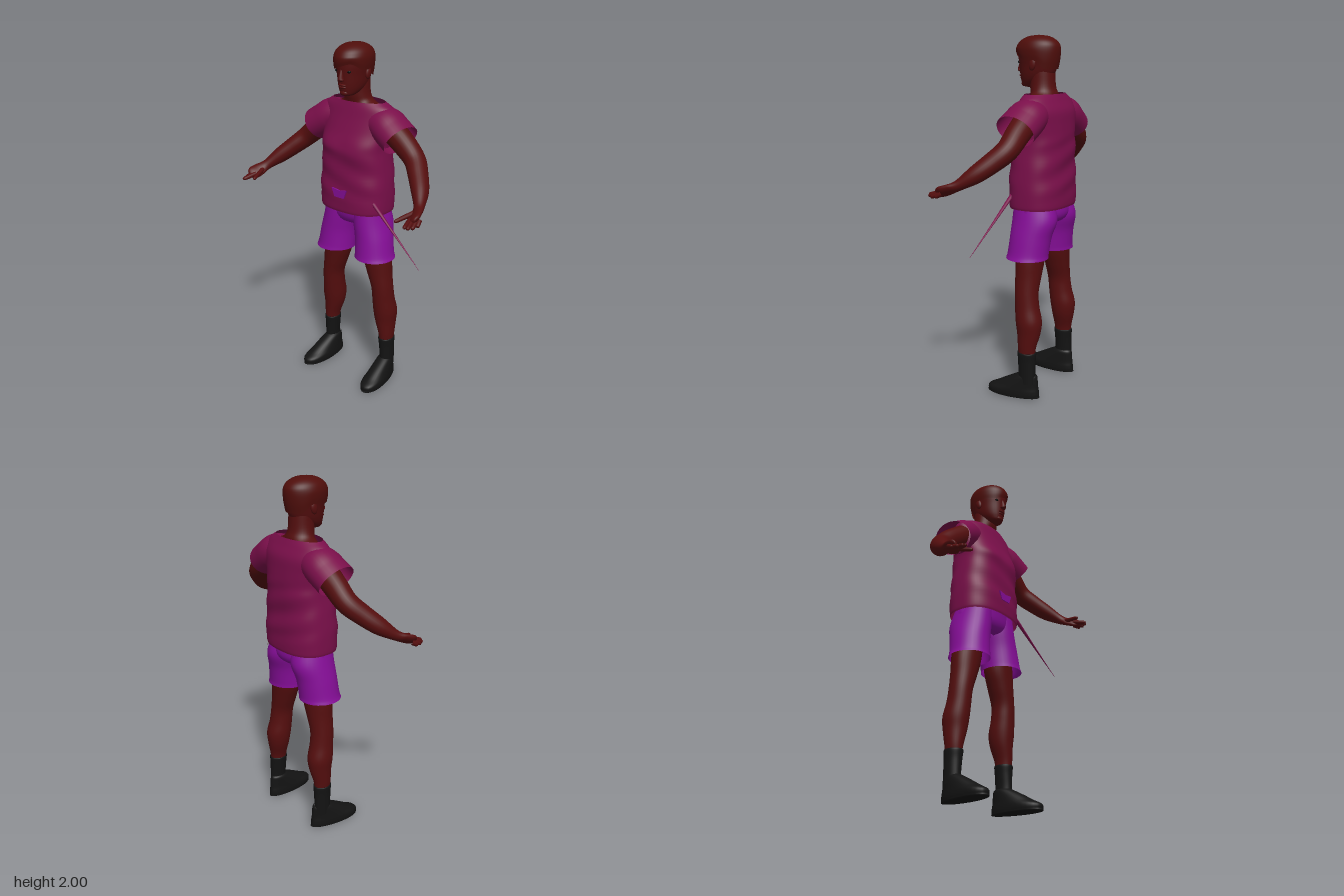
import * as THREE from 'three';

const mat = (name, color, side = THREE.FrontSide) => {
  const m = new THREE.MeshStandardMaterial({ color, side });
  m.name = name;
  return m;
};

// Smooth skin over elliptical rings [x, y, z, radiusU, radiusV, squareness].
// Level rings lie flat; otherwise they follow the path. `shape` may move points.
function loft(rings, { level = true, seg = 32, sub = 5, shape = null } = {}) {
  const smooth = (pts) => new THREE.CatmullRomCurve3(pts, false, 'catmullrom');
  const path = smooth(rings.map((r) => new THREE.Vector3(r[0], r[1], r[2])));
  const size = smooth(rings.map((r) => new THREE.Vector3(r[3], r[4], r[5] ?? 2)));
  const rows = (rings.length - 1) * sub;
  const pos = [], index = [];
  for (let i = 0; i <= rows; i++) {
    const c = path.getPoint(i / rows), s = size.getPoint(i / rows);
    const t = level ? new THREE.Vector3(0, 1, 0) : path.getTangent(i / rows);
    const u = new THREE.Vector3().crossVectors(t, new THREE.Vector3(0, 0, 1)).normalize();
    const v = new THREE.Vector3().crossVectors(u, t);
    const bend = (k) => Math.sign(k) * Math.pow(Math.abs(k), 2 / s.z);
    for (let j = 0; j < seg; j++) {
      const a = (j / seg) * Math.PI * 2;
      const p = c.clone()
        .addScaledVector(u, bend(Math.cos(a)) * Math.max(s.x, 0.0005))
        .addScaledVector(v, bend(Math.sin(a)) * Math.max(s.y, 0.0005));
      if (shape) shape(p);
      pos.push(p.x, p.y, p.z);
      if (i < rows) {
        const k = (j + 1) % seg, b = i * seg, d = b + seg;
        index.push(b + j, d + j, b + k, d + j, d + k, b + k);
      }
    }
  }
  const g = new THREE.BufferGeometry();
  g.setAttribute('position', new THREE.Float32BufferAttribute(pos, 3));
  g.setIndex(index);
  g.computeVertexNormals();
  return g;
}

export function createModel() {
  const skin = mat('skin', 0x540e0e);
  const hairMat = mat('hair', 0x4f0e0b, THREE.DoubleSide);
  const cloth = mat('shirt', 0x7a0f4a, THREE.DoubleSide);
  const shortsMat = mat('shorts', 0x860e98, THREE.DoubleSide);
  const black = mat('footwear', 0x131313);
  const eyeMat = mat('eye', 0x060808);
  const model = new THREE.Group();
  const add = (name, geo, material, parent = model) => {
    const m = new THREE.Mesh(geo, material);
    m.name = name;
    parent.add(m);
    return m;
  };
  const ball = (name, material, p, s, parent) => {
    const m = add(name, new THREE.SphereGeometry(1, 20, 14), material, parent);
    m.position.set(...p);
    m.scale.set(...s);
    return m;
  };

  // Head, neck and face
  const head = new THREE.Group();
  head.name = 'head';
  model.add(head);
  add('neck', loft([
    [0, 1.62, -0.11, 0.17, 0.075], [0, 1.66, -0.11, 0.15, 0.07], [0, 1.69, -0.105, 0.09, 0.072],
    [0, 1.73, -0.095, 0.072, 0.07], [0, 1.82, -0.09, 0.068, 0.07],
  ]), skin, head);
  add('skull', loft([
    [0, 1.722, -0.005, 0.001, 0.001], [0, 1.73, -0.012, 0.035, 0.036], [0, 1.755, -0.04, 0.058, 0.074],
    [0, 1.79, -0.058, 0.072, 0.098], [0, 1.84, -0.065, 0.081, 0.11], [0, 1.89, -0.067, 0.09, 0.116],
    [0, 1.94, -0.067, 0.088, 0.112], [0, 1.985, -0.07, 0.05, 0.06], [0, 1.992, -0.07, 0.001, 0.001],
  ]), skin, head);
  add('nose', loft([
    [0, 1.803, 0.045, 0.002, 0.002], [0, 1.812, 0.046, 0.018, 0.016], [0, 1.825, 0.045, 0.014, 0.018],
    [0, 1.87, 0.038, 0.007, 0.01],
  ], { seg: 16 }), skin, head);
  ball('upperLip', skin, [0, 1.786, 0.036], [0.026, 0.007, 0.012], head);
  ball('lowerLip', skin, [0, 1.773, 0.031], [0.023, 0.008, 0.012], head);
  ball('chin', skin, [0, 1.742, 0.02], [0.026, 0.016, 0.016], head);
  // Short hair with a fringe swept lower over the right brow
  add('hair', loft([
    [0, 1.865, -0.066, 0.094, 0.124], [0, 1.9, -0.066, 0.099, 0.13], [0, 1.935, -0.066, 0.098, 0.127],
    [0, 1.968, -0.067, 0.083, 0.106], [0, 1.992, -0.068, 0.048, 0.06], [0, 2, -0.068, 0.001, 0.001],
  ], {
    seg: 48,
    shape: (p) => {
      const low = THREE.MathUtils.clamp((1.94 - p.y) / 0.075, 0, 1);
      const front = THREE.MathUtils.smoothstep(p.z, -0.03, 0.05);
      const back = THREE.MathUtils.smoothstep(-p.z, 0.09, 0.16);
      p.y += low * (front * (0.018 + 0.35 * p.x) - back * 0.045);
      p.z += low * back * 0.012;
    },
  }), hairMat, head);

  // Shirt body, open at neck and hem
  add('shirtBody', loft([
    [0, 1.075, -0.098, 0.215, 0.152, 2.5], [0, 1.1, -0.098, 0.219, 0.156, 2.5], [0, 1.2, -0.098, 0.22, 0.156, 2.5],
    [0, 1.3, -0.098, 0.214, 0.15, 2.5], [0, 1.4, -0.098, 0.205, 0.152, 2.5], [0, 1.46, -0.1, 0.205, 0.148, 2.4],
    [0, 1.53, -0.11, 0.218, 0.134, 2.3], [0, 1.6, -0.118, 0.232, 0.119, 2.2], [0, 1.655, -0.112, 0.222, 0.098, 2.1],
    [0, 1.69, -0.108, 0.17, 0.084, 2],
  ], {
    seg: 56,
    // Soft folds and a shallow chest line
    shape: (p) => {
      const w = THREE.MathUtils.smoothstep(p.y, 1.1, 1.2) * (1 - THREE.MathUtils.smoothstep(p.y, 1.4, 1.5));
      p.z += w * 0.004 * Math.sin(p.y * 45 + p.x * 14);
      if (p.z > -0.05) p.z += 0.01 * Math.exp(-(((p.y - 1.45) / 0.05) ** 2)) * Math.min(1, Math.abs(p.x) * 9);
    },
  }), cloth);
  // Small patch on the shirt front
  const patch = new THREE.Shape([[-0.055, 1.212], [-0.035, 1.162], [0.032, 1.162], [0.05, 1.212], [0, 1.204]]
    .map(([x, y]) => new THREE.Vector2(x, y)));
  add('frontPatch', new THREE.ExtrudeGeometry(patch, { depth: 0.008, bevelEnabled: false }), shortsMat)
    .position.z = 0.057;
  // Thin spike trailing from the left side of the hem
  add('hemSpike', loft([
    [0.17, 1.16, -0.012, 0.012, 0.012], [0.22, 1.12, -0.005, 0.01, 0.011],
    [0.36, 1.006, 0.012, 0.005, 0.006], [0.53, 0.868, 0.034, 0.0008, 0.0008],
  ], { level: false, seg: 8 }), cloth);

  // Shorts seat
  add('shortsSeat', loft([
    [0, 0.985, -0.11, 0.06, 0.07], [0, 1.0, -0.11, 0.14, 0.105], [0, 1.04, -0.108, 0.198, 0.125],
    [0, 1.11, -0.1, 0.19, 0.125],
  ]), shortsMat);

  for (const s of [1, -1]) {
    const side = s > 0 ? 'left' : 'right';
    const pair = (rings, opt) => loft(rings.map(([x, ...r]) => [x * s, ...r]), opt);
    const part = (name, rings, material, opt) => add(side + name, pair(rings, opt), material);

    // Eye and ear
    ball(side + 'Eye', eyeMat, [s * 0.038, 1.858, 0.029], [0.015, 0.007, 0.008], head);
    ball(side + 'Ear', skin, [s * 0.085, 1.845, -0.077], [0.012, 0.033, 0.02], head).rotation.x = -0.2;

    // Sleeve
    part('Sleeve', [
      [0.12, 1.585, -0.115, 0.085, 0.095], [0.185, 1.572, -0.112, 0.098, 0.11],
      [0.24, 1.54, -0.105, 0.096, 0.115], [0.292, 1.508, -0.098, 0.094, 0.118],
    ], cloth, { level: false });

    // Arm running into the palm
    part('Arm', [
      [0.18, 1.58, -0.12, 0.07, 0.07], [0.3, 1.49, -0.115, 0.066, 0.064], [0.38, 1.42, -0.105, 0.058, 0.06],
      [0.44, 1.362, -0.055, 0.052, 0.056], [0.5, 1.302, 0.01, 0.045, 0.048], [0.546, 1.25, 0.08, 0.03, 0.028],
      [0.563, 1.228, 0.125, 0.038, 0.02], [0.575, 1.213, 0.168, 0.04, 0.018], [0.582, 1.206, 0.19, 0.025, 0.01],
      [0.583, 1.205, 0.194, 0.001, 0.001],
    ], skin, { level: false, seg: 24 });
    // Thumb and fingers: base, tip
    [
      [[0.545, 1.228, 0.125], [0.505, 1.203, 0.235]], [[0.557, 1.21, 0.17], [0.575, 1.192, 0.25]],
      [[0.572, 1.208, 0.172], [0.59, 1.187, 0.242]], [[0.588, 1.205, 0.165], [0.602, 1.184, 0.218]],
      [[0.598, 1.208, 0.15], [0.61, 1.187, 0.185]],
    ].forEach(([a, b], i) => {
      const mix = (k) => a.map((v, n) => v + (b[n] - v) * k);
      part('Finger' + i, [
        [...mix(0), 0.013, 0.013], [...mix(0.5), 0.012, 0.012], [...mix(0.92), 0.009, 0.009], [...mix(1), 0.001, 0.001],
      ], skin, { level: false, seg: 12 });
    });

    // Shorts leg, flared at the hem
    part('ShortsLeg', [
      [0.144, 0.798, -0.082, 0.116, 0.119], [0.138, 0.83, -0.085, 0.111, 0.116], [0.127, 0.92, -0.095, 0.106, 0.119],
      [0.108, 1.01, -0.108, 0.104, 0.13], [0.095, 1.1, -0.1, 0.095, 0.12],
    ], shortsMat);
    // Leg
    part('Leg', [
      [0.213, 0.25, -0.12, 0.038, 0.048], [0.211, 0.3, -0.12, 0.045, 0.053], [0.2, 0.38, -0.125, 0.06, 0.067],
      [0.197, 0.45, -0.123, 0.068, 0.075], [0.192, 0.53, -0.11, 0.064, 0.069], [0.186, 0.61, -0.103, 0.064, 0.067],
      [0.165, 0.7, -0.102, 0.076, 0.072], [0.145, 0.8, -0.103, 0.09, 0.078], [0.125, 0.95, -0.105, 0.088, 0.085],
    ], skin);
    // Sock
    part('Sock', [
      [0.217, 0.09, -0.122, 0.038, 0.052], [0.217, 0.15, -0.122, 0.038, 0.051], [0.214, 0.22, -0.121, 0.042, 0.052],
      [0.213, 0.268, -0.12, 0.046, 0.055], [0.213, 0.27, -0.12, 0.036, 0.045],
    ], black);
    // Shoe, wider and turned out toward the toe
    part('Shoe', [
      [0.217, 0, -0.036, 0.001, 0.001], [0.217, 0.001, -0.036, 0.05, 0.145], [0.217, 0.015, -0.036, 0.058, 0.156, 2.2],
      [0.217, 0.04, -0.038, 0.059, 0.153, 2.2], [0.217, 0.065, -0.06, 0.056, 0.128], [0.217, 0.1, -0.09, 0.05, 0.095],
      [0.217, 0.128, -0.115, 0.044, 0.066], [0.217, 0.14, -0.122, 0.035, 0.05],
    ], black, {
      shape: (p) => {
        const k = p.z + 0.05;
        p.x = s * 0.217 + (p.x - s * 0.217) * (1 + k) + s * k * 0.08;
      },
    });
  }
  return model;
}
